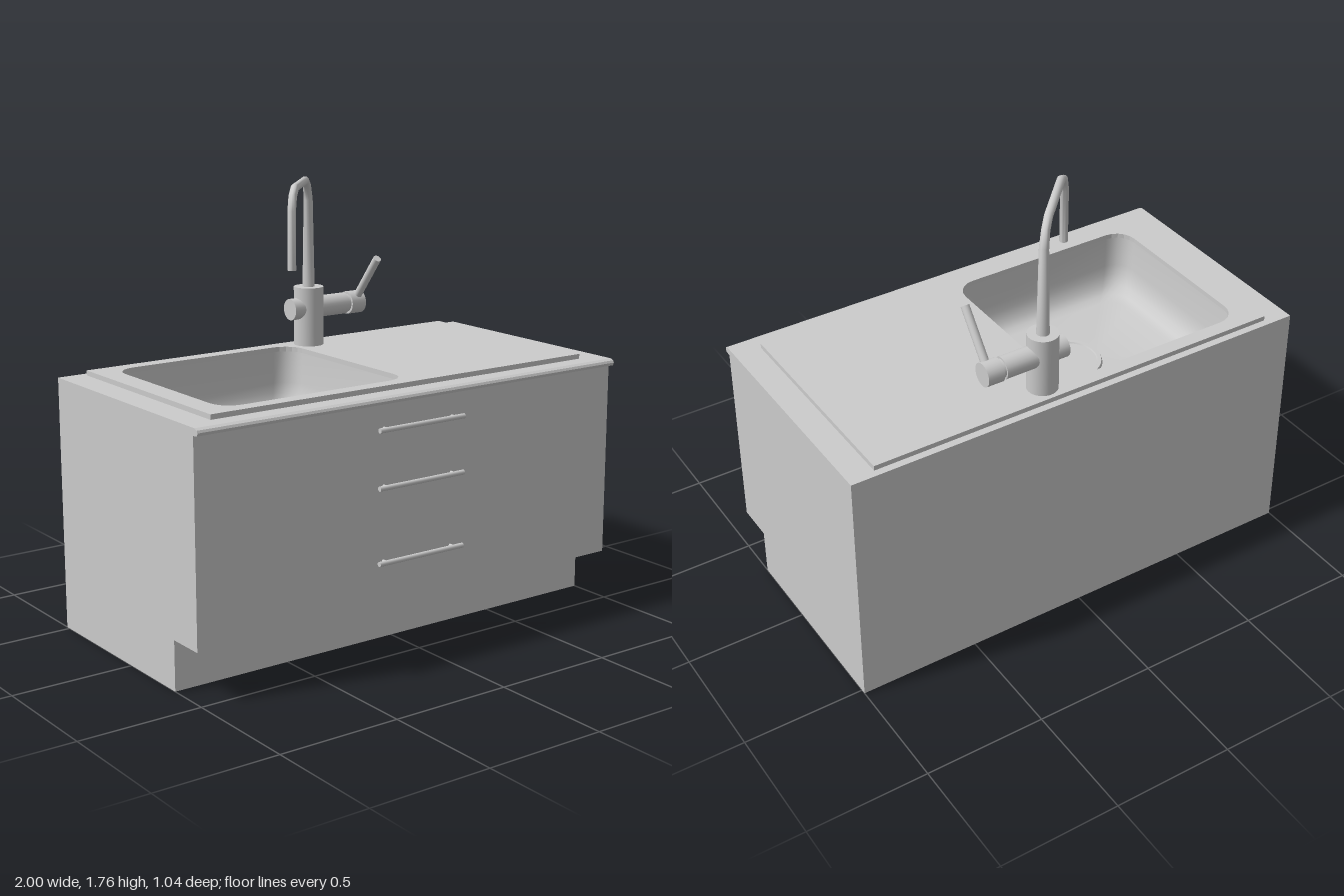
import * as THREE from 'three';
import { toCreasedNormals } from 'three/addons/utils/BufferGeometryUtils.js';

const material = new THREE.MeshStandardMaterial({ color: 0xcccccc });
const thin = new THREE.MeshStandardMaterial({ color: 0xcccccc, side: THREE.DoubleSide });

const COUNTER = 1.03, PLATE = 1.05, FLOOR = 0.78;
const BOWL = { x0: -0.8, x1: 0.04, z0: -0.43, z1: 0.36, r: 0.085 };

function add(parent, name, geometry, mat = material) {
  const mesh = new THREE.Mesh(geometry, mat);
  mesh.name = name;
  parent.add(mesh);
  return mesh;
}

// Skin a list of equally long rings of Vector3
function loft(rings, closed = true, crease = 0.9) {
  const n = rings[0].length, index = [];
  for (let i = 0; i < rings.length - 1; i++) {
    for (let j = 0; j < (closed ? n : n - 1); j++) {
      const k = (j + 1) % n, a = i * n, b = a + n;
      index.push(a + j, a + k, b + j, a + k, b + k, b + j);
    }
  }
  const geometry = new THREE.BufferGeometry().setFromPoints(rings.flat());
  geometry.setIndex(index);
  return toCreasedNormals(geometry, crease);
}

// Cylinder between two points
function rod(parent, name, from, to, radius, sides = 24) {
  const a = new THREE.Vector3(...from), b = new THREE.Vector3(...to);
  const dir = b.clone().sub(a);
  const mesh = add(parent, name, new THREE.CylinderGeometry(radius, radius, dir.length(), sides));
  mesh.position.copy(a).add(b).multiplyScalar(0.5);
  mesh.quaternion.setFromUnitVectors(new THREE.Vector3(0, 1, 0), dir.normalize());
  return mesh;
}

// Rounded outline of the bowl in (x, z), drawn in by an inset
function bowlOutline(inset = 0, segments = 5) {
  const { x0, x1, z0, z1, r } = BOWL;
  const corners = [[x1, z1, -1, -1], [x0, z1, 1, -1], [x0, z0, 1, 1], [x1, z0, -1, 1]];
  const points = [];
  corners.forEach(([x, z, sx, sz], q) => {
    for (let i = 0; i <= segments; i++) {
      const a = (q + i / segments) * Math.PI / 2;
      points.push(new THREE.Vector2(
        x + sx * (inset + r) + r * Math.cos(a),
        z + sz * (inset + r) + r * Math.sin(a)));
    }
  });
  return points;
}

// Horizontal rectangle with the bowl cut out; shape y runs along -z
function slabShape(x0, x1, z0, z1) {
  const shape = new THREE.Shape([[x0, -z1], [x1, -z1], [x1, -z0], [x0, -z0]]
    .map(([x, y]) => new THREE.Vector2(x, y)));
  shape.holes.push(new THREE.Path(bowlOutline().map(p => new THREE.Vector2(p.x, -p.y))));
  return shape;
}

// Cabinet shell, open underneath
function makeCabinet() {
  const cabinet = new THREE.Group();
  cabinet.name = 'cabinet';
  const profile = [[-0.49 + 0.98, COUNTER], [0.505, 1.024], [0.51, 1.015], [0.505, 1.003], [0.48, 1.0],
    [0.48, 0.2], [0.32, 0.2], [0.32, 0], [-0.52, 0], [-0.52, COUNTER]];

  const strip = pts => loft([1, -1].map(x => pts.map(([z, y]) => new THREE.Vector3(x, y, z))), false, 0.1);
  add(cabinet, 'frontPanels', strip(profile.slice(0, 8)), thin);
  add(cabinet, 'backPanel', strip(profile.slice(8)), thin);

  const side = new THREE.Shape(profile.map(([z, y]) => new THREE.Vector2(-z, y)));
  for (const [name, x] of [['leftPanel', 1], ['rightPanel', -1]]) {
    const geometry = new THREE.ShapeGeometry(side).rotateY(Math.PI / 2);
    add(cabinet, name, geometry, thin).position.x = x;
  }

  const top = new THREE.ShapeGeometry(slabShape(-1, 1, -0.52, 0.49)).rotateX(-Math.PI / 2);
  add(cabinet, 'countertop', top, thin).position.y = COUNTER;
  return cabinet;
}

// Drawer pulls with two posts each
function makeHandle(y) {
  const handle = new THREE.Group();
  handle.name = 'drawerHandle';
  rod(handle, 'handleBar', [-0.205, y, 0.508], [0.205, y, 0.508], 0.01, 16);
  for (const x of [-0.165, 0.165]) rod(handle, 'handlePost', [x, y, 0.475], [x, y, 0.508], 0.006, 12);
  return handle;
}

function makeSink() {
  const sink = new THREE.Group();
  sink.name = 'sink';
  const plate = new THREE.ExtrudeGeometry(slabShape(-0.89, 0.89, -0.49, 0.42),
    { depth: PLATE - COUNTER, bevelEnabled: false }).rotateX(-Math.PI / 2);
  add(sink, 'sinkPlate', plate).position.y = COUNTER;

  // Walls curving into the floor, then closed at the centre
  const ring = (inset, y) => bowlOutline(inset).map(p => new THREE.Vector3(p.x, y, p.y));
  const rings = [[0, COUNTER], [0.008, 0.9], [0.014, 0.86], [0.03, 0.815], [0.055, 0.79], [0.09, FLOOR]]
    .map(([inset, y]) => ring(inset, y));
  const centre = new THREE.Vector3((BOWL.x0 + BOWL.x1) / 2, FLOOR, (BOWL.z0 + BOWL.z1) / 2);
  rings.push(rings[0].map(() => centre.clone()));
  add(sink, 'bowl', loft(rings), thin);

  const drain = [[0, 0.006], [0.122, 0.006], [0.125, 0.012], [0.14, 0.012], [0.145, 0]]
    .map(([r, y]) => new THREE.Vector2(r, y)).reverse();
  const drainMesh = add(sink, 'drain', toCreasedNormals(new THREE.LatheGeometry(drain, 40), 0.4), thin);
  drainMesh.position.set(-0.27, FLOOR, -0.01);
  return sink;
}

function makeFaucet() {
  const faucet = new THREE.Group();
  faucet.name = 'faucet';
  const X = 0.12, Z = -0.41, Y = 1.205;
  rod(faucet, 'faucetColumn', [X, PLATE, Z], [X, 1.295, Z], 0.062, 32);

  // Valve body across the column, with cap, groove and knob
  rod(faucet, 'valveCap', [0.025, Y, Z], [X, Y, Z], 0.045);
  rod(faucet, 'valveBody', [X, Y, Z], [0.302, Y, Z], 0.045);
  rod(faucet, 'valveNeck', [0.302, Y, Z], [0.315, Y, Z], 0.038);
  rod(faucet, 'valveKnob', [0.315, Y, Z], [0.385, Y, Z], 0.048);
  rod(faucet, 'lever', [0.357, Y, Z], [0.357, 1.41, -0.248], 0.017, 16);

  // Tapered spout bent in a vertical plane: distance, height, radius
  const path = [[0, 1.28, 0.026], [0, 1.66, 0.019], [0.03, 1.717, 0.017], [0.085, 1.745, 0.017],
    [0.355, 1.745, 0.017], [0.41, 1.717, 0.017], [0.44, 1.66, 0.017], [0.44, 1.43, 0.017]];
  const dir = new THREE.Vector3(-0.305, 0, 0.32).normalize();
  const across = new THREE.Vector3(dir.z, 0, -dir.x);
  const points = path.map(([s, y]) => new THREE.Vector3(X, y, Z).addScaledVector(dir, s));
  const rings = points.map((p, i) => {
    const before = p.clone().sub(points[Math.max(i - 1, 0)]).normalize();
    const after = points[Math.min(i + 1, points.length - 1)].clone().sub(p).normalize();
    const normal = before.add(after).normalize().cross(across);
    return Array.from({ length: 16 }, (_, j) => {
      const a = j / 16 * Math.PI * 2;
      return p.clone().addScaledVector(across, path[i][2] * Math.cos(a))
        .addScaledVector(normal, path[i][2] * Math.sin(a));
    });
  });
  rings.push(rings[0].map(() => points[points.length - 1].clone()));
  add(faucet, 'spout', loft(rings), thin);
  return faucet;
}

export function createModel() {
  const model = new THREE.Group();
  model.name = 'sinkCabinet';
  model.add(makeCabinet(), makeSink(), makeFaucet());
  for (const y of [0.905, 0.68, 0.383]) model.add(makeHandle(y));
  return model;
}
